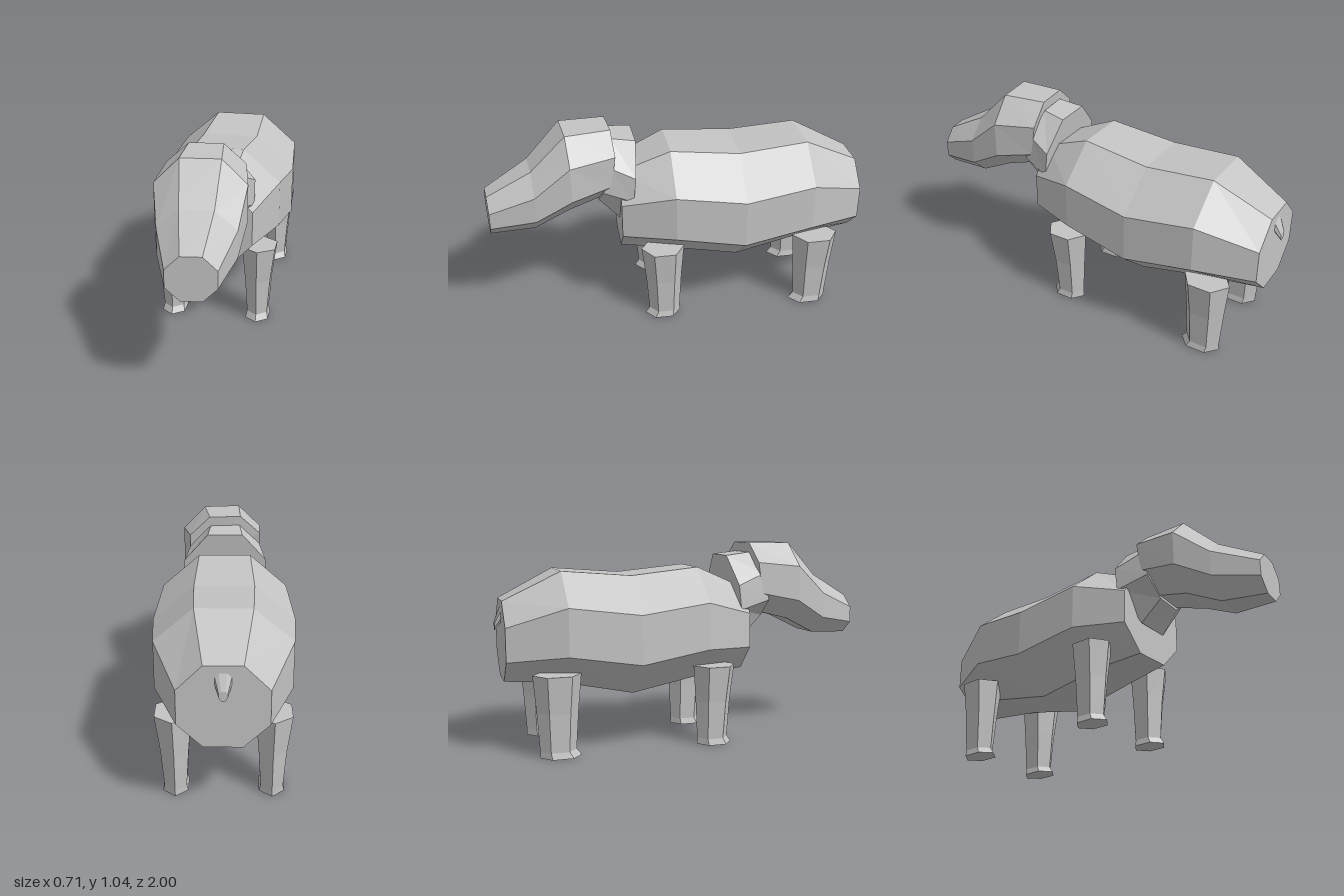
import * as THREE from 'three';

const hide = new THREE.MeshStandardMaterial({ color: 0xc4c4c4, flatShading: true });
hide.name = 'grey hide';

// Closed skin over equal-length rings, each counter-clockwise seen from the far end
function loft(name, rings) {
  const pos = [];
  const tri = (a, b, c) => pos.push(...a, ...b, ...c);
  const n = rings[0].length;
  for (let r = 0; r < rings.length - 1; r++) {
    const a = rings[r], b = rings[r + 1];
    for (let i = 0; i < n; i++) {
      const j = (i + 1) % n;
      tri(a[i], a[j], b[j]);
      tri(a[i], b[j], b[i]);
    }
  }
  const first = rings[0], last = rings[rings.length - 1];
  for (let i = 1; i < n - 1; i++) {
    tri(first[0], first[i + 1], first[i]);
    tri(last[0], last[i], last[i + 1]);
  }
  const geo = new THREE.BufferGeometry();
  geo.setAttribute('position', new THREE.Float32BufferAttribute(pos, 3));
  geo.computeVertexNormals();
  const mesh = new THREE.Mesh(geo, hide);
  mesh.name = name;
  return mesh;
}

// Eight-sided section: side and top half-widths, four heights from top to bottom,
// z per height (or one z for all), centre x and sideways turn
function octagon(side, top, ys, z, cx = 0, turn = 0) {
  const [t, u, l, b] = ys;
  const zs = Array.isArray(z) ? z : [z, z, z, z];
  return [
    [side, l, 2], [side, u, 1], [top, t, 0], [-top, t, 0],
    [-side, u, 1], [-side, l, 2], [-top, b, 3], [top, b, 3],
  ].map(([x, y, k]) => [cx + x, y, zs[k] - turn * x]);
}

// Six-sided level section with corners to the front and back
function hexagon([y, cx, cz, rx, rz]) {
  return Array.from({ length: 6 }, (_, i) => {
    const a = Math.PI / 6 + i * Math.PI / 3;
    return [cx + Math.cos(a) * rx / Math.cos(Math.PI / 6), y, cz - Math.sin(a) * rz];
  });
}

export function createModel() {
  const model = new THREE.Group();
  model.name = 'animal';

  // Barrel body, rump to chest
  model.add(loft('body', [
    octagon(0.21, 0.09, [0.775, 0.655, 0.485, 0.37], -0.97),
    octagon(0.328, 0.137, [0.92, 0.755, 0.515, 0.355], -0.68),
    octagon(0.357, 0.15, [0.89, 0.71, 0.46, 0.28], -0.32),
    octagon(0.328, 0.135, [0.925, 0.755, 0.515, 0.345], 0.04),
    octagon(0.225, 0.1, [0.81, 0.68, 0.5, 0.37], 0.305),
  ]));

  // Collar-like neck
  model.add(loft('neck', [
    octagon(0.225, 0.095, [0.98, 0.83, 0.7, 0.54], [0.215, 0.235, 0.25, 0.31], 0, 0.03),
    octagon(0.19, 0.08, [0.995, 0.885, 0.745, 0.65], [0.345, 0.375, 0.41, 0.42], 0, 0.1),
  ]));

  // Head turned slightly to its left
  model.add(loft('head', [
    octagon(0.195, 0.085, [1.045, 0.945, 0.78, 0.67], [0.345, 0.345, 0.37, 0.405], 0, 0.1),
    octagon(0.22, 0.098, [1.042, 0.92, 0.735, 0.625], 0.577, 0.02, 0.11),
    octagon(0.185, 0.08, [0.86, 0.765, 0.63, 0.535], 0.757, 0.04, 0.11),
    octagon(0.117, 0.05, [0.735, 0.67, 0.585, 0.52], 0.985, 0.0625, 0.125),
  ]));

  // Legs: hoof, ankle, knee, top
  const legs = {
    front: [[0, 0.1, 0.095], [0.033, 0.09, 0.083], [0.23, 0.093, 0.095], [0.42, 0.098, 0.113]],
    back: [[0, -0.715, 0.105], [0.033, -0.728, 0.092], [0.23, -0.728, 0.105], [0.42, -0.728, 0.122]],
  };
  const across = [[0.232, 0.0615], [0.232, 0.054], [0.233, 0.067], [0.237, 0.087]];
  for (const [place, rows] of Object.entries(legs)) {
    for (const s of [1, -1]) {
      model.add(loft(`${place}${s > 0 ? 'Left' : 'Right'}Leg`, rows.map(([y, cz, rz], i) =>
        hexagon([y, s * across[i][0], cz, across[i][1], rz]))));
    }
  }

  // Short tail stub
  model.add(loft('tail', [
    octagon(0.02, 0.01, [0.665, 0.655, 0.635, 0.62], -1),
    octagon(0.04, 0.02, [0.75, 0.73, 0.69, 0.665], -0.965),
  ]));

  return model;
}
